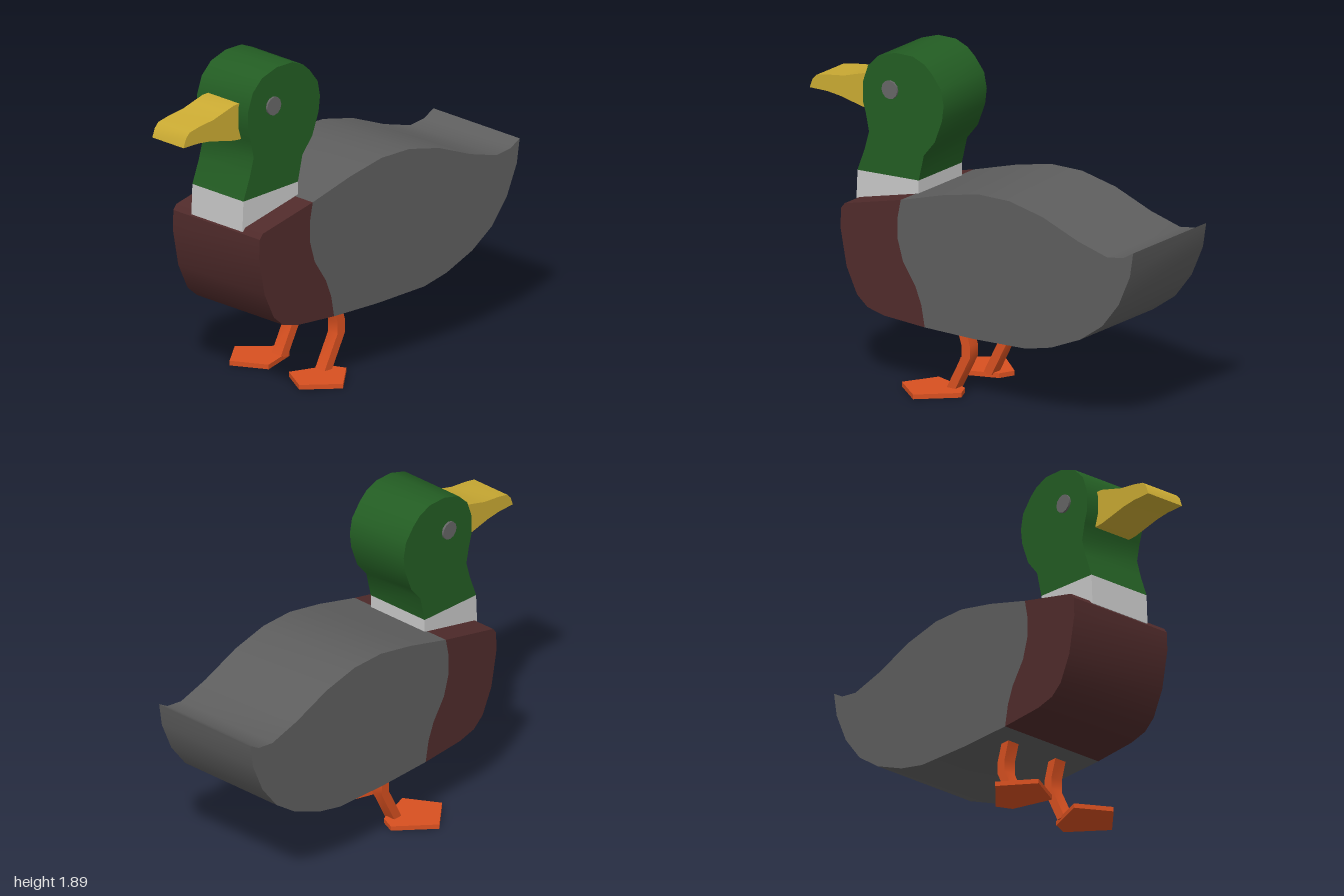
import * as THREE from 'three';
import { toCreasedNormals } from 'three/addons/utils/BufferGeometryUtils.js';

const paint = (name, color) => {
  const m = new THREE.MeshStandardMaterial({ color });
  m.name = name;
  return m;
};

export function createModel() {
  const grey = paint('bodyGrey', 0x5e5e5e);
  const maroon = paint('breastMaroon', 0x502b2b);
  const green = paint('headGreen', 0x235d23);
  const white = paint('collarWhite', 0xc8c8c8);
  const yellow = paint('billYellow', 0xcbab33);
  const orange = paint('legOrange', 0xd85020);
  const eyeGrey = paint('eyeGrey', 0x666666);

  // Duck built facing local +x, then turned to face a corner
  const duck = new THREE.Group();
  duck.name = 'duck';
  duck.rotation.y = -Math.PI * 3 / 4;

  const shapeOf = (pts) => new THREE.Shape(pts.map(([x, y]) => new THREE.Vector2(x, y)));

  // Side profile [forward, height] extruded across a width centred on z
  const slab = (name, pts, width, material, z = 0) => {
    const geo = new THREE.ExtrudeGeometry(shapeOf(pts), { depth: width, bevelEnabled: false });
    geo.translate(0, 0, z - width / 2);
    const mesh = new THREE.Mesh(toCreasedNormals(geo, 0.6), material);
    mesh.name = name;
    duck.add(mesh);
    return mesh;
  };

  // Seam between breast and body, top to bottom
  const seam = [[0.51, 1.1], [0.53, 1.0], [0.53, 0.87], [0.495, 0.75], [0.41, 0.62], [0.37, 0.52], [0.347, 0.395]];

  slab('body', [
    ...seam,
    [0.014, 0.39], [-0.34, 0.4], [-0.51, 0.438], [-0.707, 0.52], [-0.857, 0.625], [-0.97, 0.77],
    [-1.046, 0.945], [-1.068, 1.085],
    [-1.0, 1.045], [-0.89, 1.03], [-0.693, 1.085], [-0.453, 1.18], [-0.226, 1.23], [-0.014, 1.23], [0.226, 1.18],
  ], 0.685, grey);

  slab('breast', [
    ...seam,
    [0.622, 0.412], [0.735, 0.44], [0.806, 0.5], [0.877, 0.65], [0.919, 0.87], [0.914, 0.98], [0.891, 1.01],
  ], 0.685, maroon);

  // Collar and head
  slab('collar', [[0.489, 1.05], [0.912, 0.99], [0.904, 1.165], [0.489, 1.18]], 0.405, white);

  slab('head', [
    [0.489, 1.18], [0.904, 1.165], [0.854, 1.3], [0.826, 1.4], [0.847, 1.5], [0.868, 1.57], [0.868, 1.68],
    [0.833, 1.78], [0.762, 1.85], [0.649, 1.887], [0.53, 1.887], [0.451, 1.855], [0.4, 1.81], [0.338, 1.73],
    [0.32, 1.64], [0.331, 1.55], [0.38, 1.42], [0.454, 1.33],
  ], 0.405, green);

  slab('bill', [
    [0.82, 1.495], [0.9, 1.5], [0.97, 1.515], [1.083, 1.54], [1.168, 1.55], [1.285, 1.55],
    [1.267, 1.6], [1.239, 1.63], [1.168, 1.645], [1.055, 1.66], [0.97, 1.685], [0.9, 1.705], [0.82, 1.707],
  ], 0.248, yellow);

  const legPath = [[0.205, 0.42], [0.165, 0.29], [0.165, 0.22], [0.27, 0.015]];
  const legHalf = 0.029;
  // Foot outline [outward, forward]
  const footOutline = [[0.16, 0.205], [0.25, 0.165], [0.43, 0.363], [0.276, 0.55], [0.08, 0.44]];

  for (const side of [-1, 1]) {
    const label = side < 0 ? 'left' : 'right';

    const eye = new THREE.Mesh(new THREE.CylinderGeometry(0.053, 0.053, 0.03, 12), eyeGrey);
    eye.name = label + 'Eye';
    eye.rotation.x = Math.PI / 2;
    eye.position.set(0.68, 1.67, side * 0.2);
    duck.add(eye);

    // Bent leg with a square section
    slab(label + 'Leg', [
      ...legPath.map(([x, y]) => [x - legHalf, y]),
      ...legPath.map(([x, y]) => [x + legHalf, y]).reverse(),
    ], 0.075, orange, side * 0.173);

    // Flat webbed foot
    const footGeo = new THREE.ExtrudeGeometry(
      shapeOf(footOutline.map(([out, fwd]) => [fwd, -side * out])),
      { depth: 0.027, bevelEnabled: false });
    footGeo.rotateX(-Math.PI / 2);
    const foot = new THREE.Mesh(footGeo, orange);
    foot.name = label + 'Foot';
    duck.add(foot);
  }

  const model = new THREE.Group();
  model.name = 'model';
  model.add(duck);
  return model;
}
